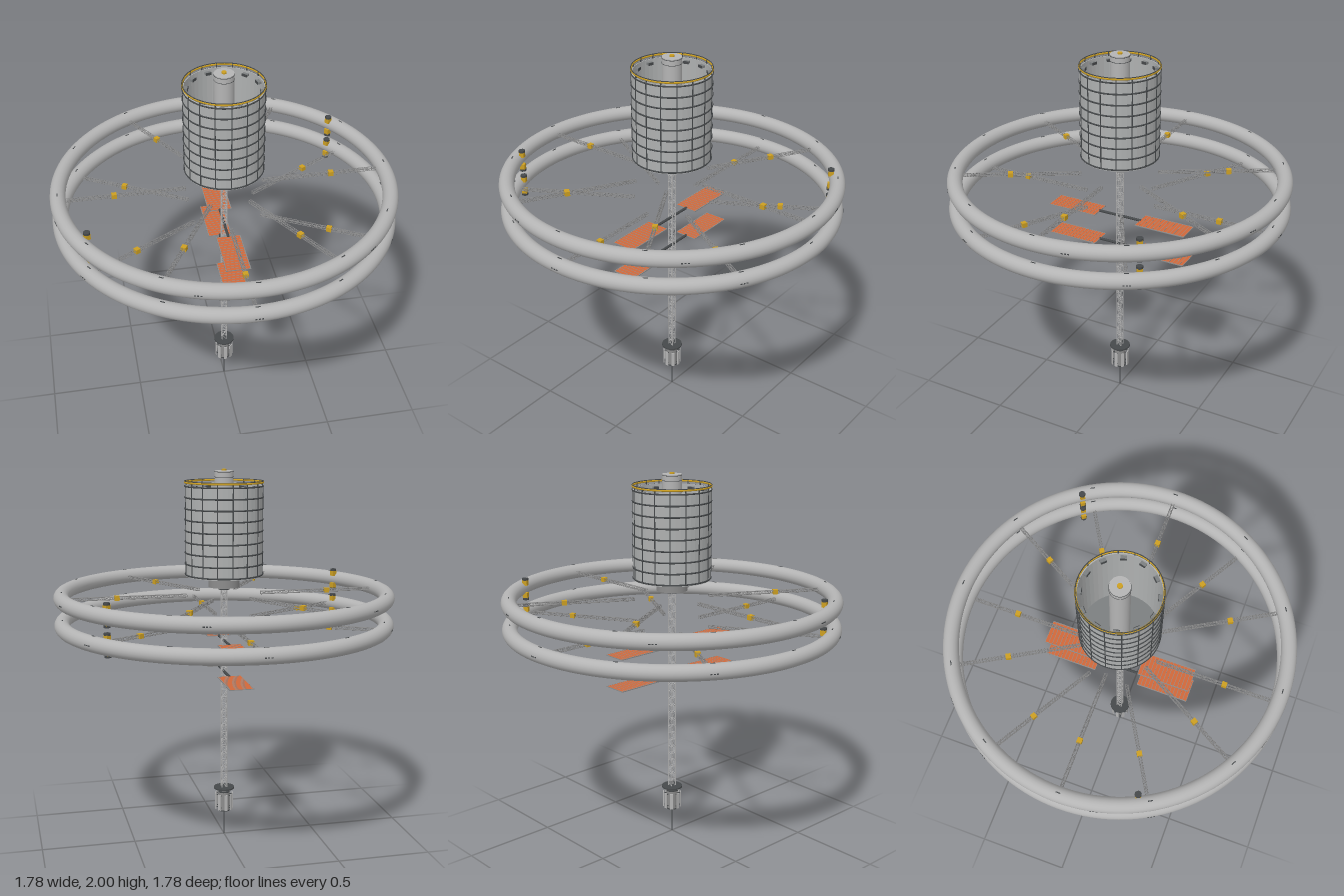
import * as THREE from 'three';
import { mergeGeometries } from 'three/addons/utils/BufferGeometryUtils.js';

const mat = (name, color, side = THREE.FrontSide) => {
  const m = new THREE.MeshStandardMaterial({ color, side });
  m.name = name;
  return m;
};

// bar between two points
function strut(a, b, r, sides = 4) {
  const d = b.clone().sub(a);
  const g = new THREE.CylinderGeometry(r, r, d.length(), sides, 1);
  g.applyQuaternion(new THREE.Quaternion().setFromUnitVectors(new THREE.Vector3(0, 1, 0), d.normalize()));
  return g.translate((a.x + b.x) / 2, (a.y + b.y) / 2, (a.z + b.z) / 2);
}

// square lattice girder along y, starting at y = 0
function girder(length, half, bays, r) {
  const parts = [], step = length / bays;
  const corner = (k, y) => new THREE.Vector3(
    half * (k % 4 === 0 || k % 4 === 3 ? 1 : -1), y, half * (k % 4 < 2 ? 1 : -1));
  for (let k = 0; k < 4; k++) {
    parts.push(strut(corner(k, 0), corner(k, length), r));
    for (let i = 0; i < bays; i++) {
      parts.push(strut(corner(k, i * step), corner(k + 1, i * step), r * 0.7));
      parts.push(strut(corner(k + i % 2, i * step), corner(k + 1 - i % 2, (i + 1) * step), r * 0.7));
    }
  }
  return mergeGeometries(parts);
}

export function createModel() {
  const root = new THREE.Group();
  const hull = mat('hullGrey', 0xb4b4b4);
  const wall = mat('wallGrey', 0xaeb0b0, THREE.DoubleSide);
  const mid = mat('midGrey', 0x8c8c8c);
  const deck = mat('deckGrey', 0x7c7f80);
  const dark = mat('darkGrey', 0x46494b);
  const gold = mat('gold', 0xcc9f22);
  const orange = mat('panelOrange', 0xd0683a);

  const add = (name, geo, m, x = 0, y = 0, z = 0, parent = root) => {
    const mesh = new THREE.Mesh(geo, m);
    mesh.name = name;
    mesh.position.set(x, y, z);
    parent.add(mesh);
    return mesh;
  };
  const cyl = (r, h, n = 32) => new THREE.CylinderGeometry(r, r, h, n);
  const hoop = (r, t) => new THREE.TorusGeometry(r, t, 6, 64).rotateX(Math.PI / 2);
  const box = (x, y, z) => new THREE.BoxGeometry(x, y, z);
  // group turned about y so that its local +x points outward
  const spin = (name, angle, y = 0) => {
    const g = new THREE.Group();
    g.name = name;
    g.rotation.y = angle;
    g.position.y = y;
    root.add(g);
    return g;
  };

  // habitat rings, each with six lattice spokes, markers and windows
  const spokeGeo = girder(0.62, 0.007, 20, 0.0016).rotateZ(-Math.PI / 2);
  [1.35, 1.205].forEach((y, level) => {
    add('habitatRing', new THREE.TorusGeometry(0.85, 0.04, 20, 128).rotateX(Math.PI / 2), hull, 0, y);
    for (let i = 0; i < 6; i++) {
      const s = spin('spoke', (i * 2 + level) * Math.PI / 6, y);
      add('spokeGirder', spokeGeo, mid, 0.2, 0, 0, s);
      add('spokeCar', box(0.026, 0.024, 0.026), gold, 0.567, 0, 0, s);
    }
    for (let i = 0; i < 12; i++) {
      const s = spin('ringFittings', i * Math.PI / 6, y);
      add('roofHatch', box(0.005, 0.003, 0.024), dark, 0.85, 0.04, 0, s);
      for (const k of [-1, 0, 1]) {
        const w = spin('windowMount', (i + 0.6 * level + 0.4) * Math.PI / 6 + k * 0.017, y);
        if (i % 2 === 0) add('window', box(0.003, 0.005, 0.009), dark, 0.89, 0, 0, w);
      }
    }
    // thruster pods above and below the ring
    for (const [x, z] of [[0.675, -0.46], [-0.73, 0.36]]) {
      const p = spin('thrusterPod', Math.atan2(-z, x), y);
      const r = Math.hypot(x, z);
      for (const k of [-1, 1]) {
        add('podBody', box(0.026, 0.03, 0.026), gold, r, k * 0.035, 0, p);
        add('podCap', cyl(0.017, 0.012, 10), dark, r, k * 0.054, 0, p);
      }
    }
  });

  // open drum: thin double wall, floor, hoops and stringers
  const profile = [[0.196, 1.455], [0.196, 1.918], [0.202, 1.918], [0.202, 1.45]]
    .map(([r, y]) => new THREE.Vector2(r, y));
  const flatWall = new THREE.LatheGeometry(profile, 48).toNonIndexed();
  flatWall.computeVertexNormals();
  add('drumWall', flatWall, wall);
  add('drumFloor', cyl(0.2, 0.012, 48), deck, 0, 1.456);
  for (let i = 0; i < 9; i++) add('drumHoop', hoop(0.202, 0.0045), dark, 0, 1.458 + i * 0.057);
  for (let i = 0; i < 16; i++) {
    const s = spin('drumRib', i * Math.PI / 8);
    add('stringer', box(0.005, 0.46, 0.005), dark, 0.202, 1.685, 0, s);
    add('rimPost', box(0.005, 0.025, 0.005), dark, 0.2, 1.925, 0, s);
  }
  for (let i = 0; i < 12; i++) {
    const s = spin('wallBracket', (i + 0.5) * Math.PI / 6);
    add('bracket', box(0.018, 0.012, 0.03), deck, 0.186, 1.9, 0, s);
    add('bracketEdge', box(0.003, 0.014, 0.03), dark, 0.176, 1.9, 0, s);
  }
  add('rimRing', hoop(0.202, 0.005), gold, 0, 1.933);
  add('rimCap', hoop(0.203, 0.0025), dark, 0, 1.939);

  // central column with a gold tip
  add('column', cyl(0.05, 0.53), hull, 0, 1.727);
  for (const y of [1.96, 1.986]) add('columnBand', hoop(0.05, 0.0015), dark, 0, y);
  add('columnTip', cyl(0.013, 0.008, 16), gold, 0, 1.996);

  // hub below the drum
  add('hub', cyl(0.082, 0.065), mid, 0, 1.4225);
  add('hubCollar', cyl(0.03, 0.02, 24), dark, 0, 1.385);

  // lattice mast
  add('mast', girder(1.12, 0.0135, 28, 0.0028), hull, 0, 0.27);

  // solar wings on two cross booms
  for (const y of [1.1, 0.93]) {
    add('boom', cyl(0.007, 0.25, 10).rotateX(Math.PI / 2), dark, 0, y);
    for (const k of [-1, 1]) {
      add('solarPanel', box(0.122, 0.003, 0.28), orange, 0, y, k * 0.26);
      for (let i = 0; i <= 14; i++)
        add('panelSlat', box(0.126, 0.0042, 0.0025), mid, 0, y, k * (0.121 + i * 0.01986));
      for (const x of [-0.062, 0.062]) add('panelEdge', box(0.004, 0.0045, 0.28), mid, x, y, k * 0.26);
    }
  }

  // propulsion module at the foot of the mast
  add('shieldDisc', cyl(0.056, 0.008), dark, 0, 0.272);
  add('moduleNeck', cyl(0.02, 0.03, 16), mid, 0, 0.257);
  add('moduleBody', cyl(0.03, 0.11, 16), mid, 0, 0.195);
  for (const y of [0.142, 0.25]) add('moduleBand', cyl(0.032, 0.006, 16), dark, 0, y);
  for (let i = 0; i < 8; i++) {
    const s = spin('radiator', i * Math.PI / 4, 0.195);
    add('radiatorPlate', box(0.004, 0.09, 0.018), hull, 0.047, 0, 0, s);
    for (const y of [-0.035, 0.035]) add('radiatorArm', box(0.02, 0.004, 0.004), dark, 0.037, y, 0, s);
  }
  add('antenna', cyl(0.0035, 0.145, 8), dark, 0, 0.0725);

  return root;
}
